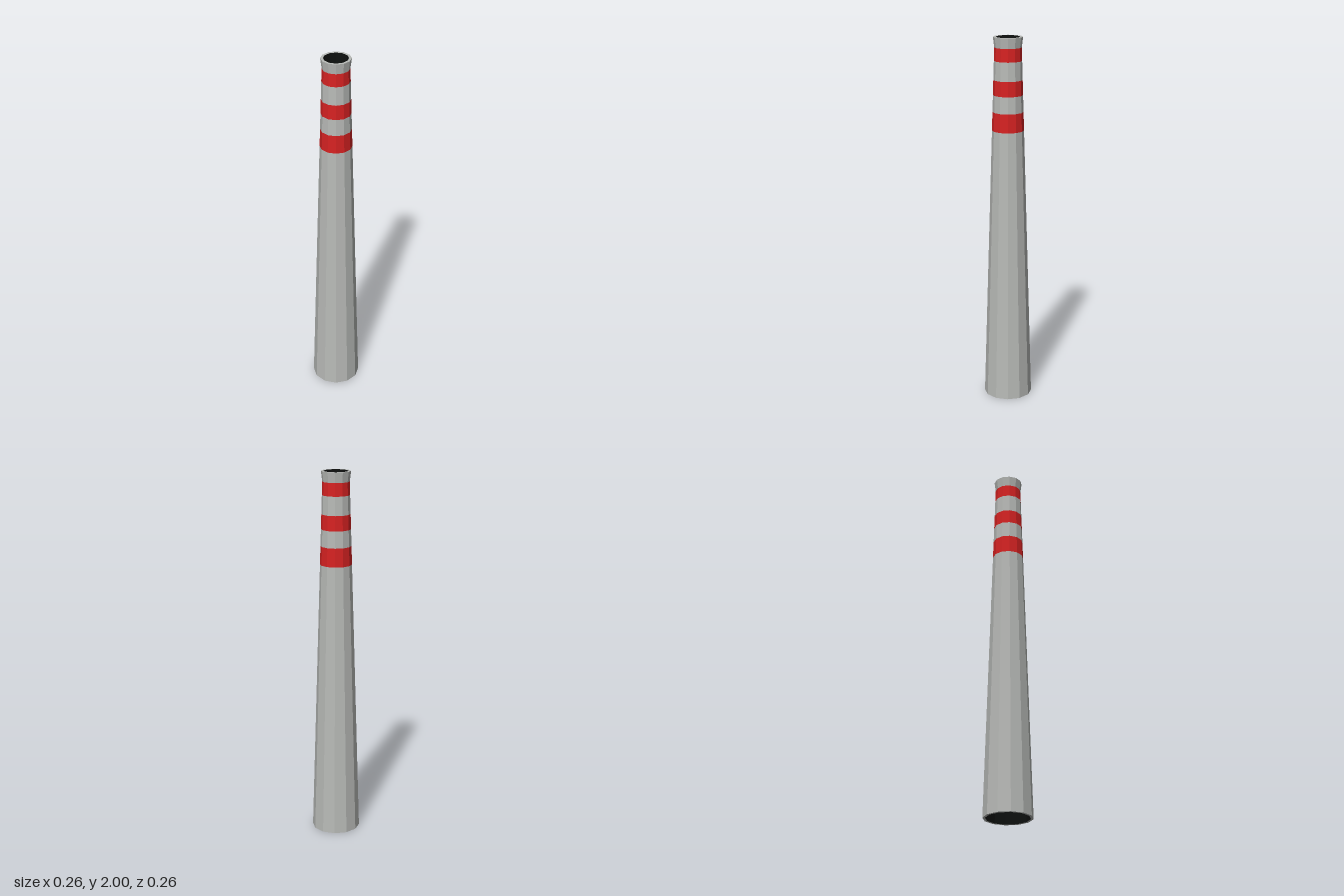
import * as THREE from 'three';

const SIDES = 12;

export function createModel() {
  const mat = (name, color, side = THREE.FrontSide) => {
    const m = new THREE.MeshStandardMaterial({ color, flatShading: true, side });
    m.name = name;
    return m;
  };
  const concrete = mat('concrete grey', 0xb8bab7);
  const red = mat('warning red', 0xd62222);
  const soot = mat('soot black', 0x0e100f, THREE.DoubleSide);

  const chimney = new THREE.Group();
  chimney.name = 'chimney';

  const add = (name, geometry, material) => {
    const mesh = new THREE.Mesh(geometry, material);
    mesh.name = name;
    chimney.add(mesh);
  };
  // Open twelve-sided wall between two heights
  const wall = (name, y0, r0, y1, r1, material) => {
    const g = new THREE.CylinderGeometry(r1, r0, y1 - y0, SIDES, 1, true);
    g.translate(0, (y0 + y1) / 2, 0);
    add(name, g, material);
  };
  // Flat annulus closing the wall thickness
  const ring = (name, y, inner, outer, up) => {
    const g = new THREE.RingGeometry(inner, outer, SIDES, 1);
    g.rotateX(up ? -Math.PI / 2 : Math.PI / 2);
    g.translate(0, y, 0);
    add(name, g, concrete);
  };

  // Tapered shaft, alternating plain and painted sections
  const radius = (y) => 0.131 - 0.0303 * y;
  const levels = [0, 1.505, 1.605, 1.695, 1.775, 1.875, 1.945];
  for (let i = 0; i < levels.length - 1; i++) {
    const painted = i % 2 === 1;
    const [a, b] = [levels[i], levels[i + 1]];
    wall(painted ? 'redBand' : 'shaftSection', a, radius(a), b, radius(b), painted ? red : concrete);
  }

  // Flared lip at the top
  wall('flaredLip', 1.945, radius(1.945), 2, 0.079, concrete);
  ring('topRim', 2, 0.065, 0.079, true);
  ring('bottomRim', 0, 0.117, 0.131, false);

  // Sooty flue, open at both ends
  wall('flue', 0, 0.117, 1.945, 0.061, soot);
  wall('flueMouth', 1.945, 0.061, 2, 0.065, soot);

  return chimney;
}
